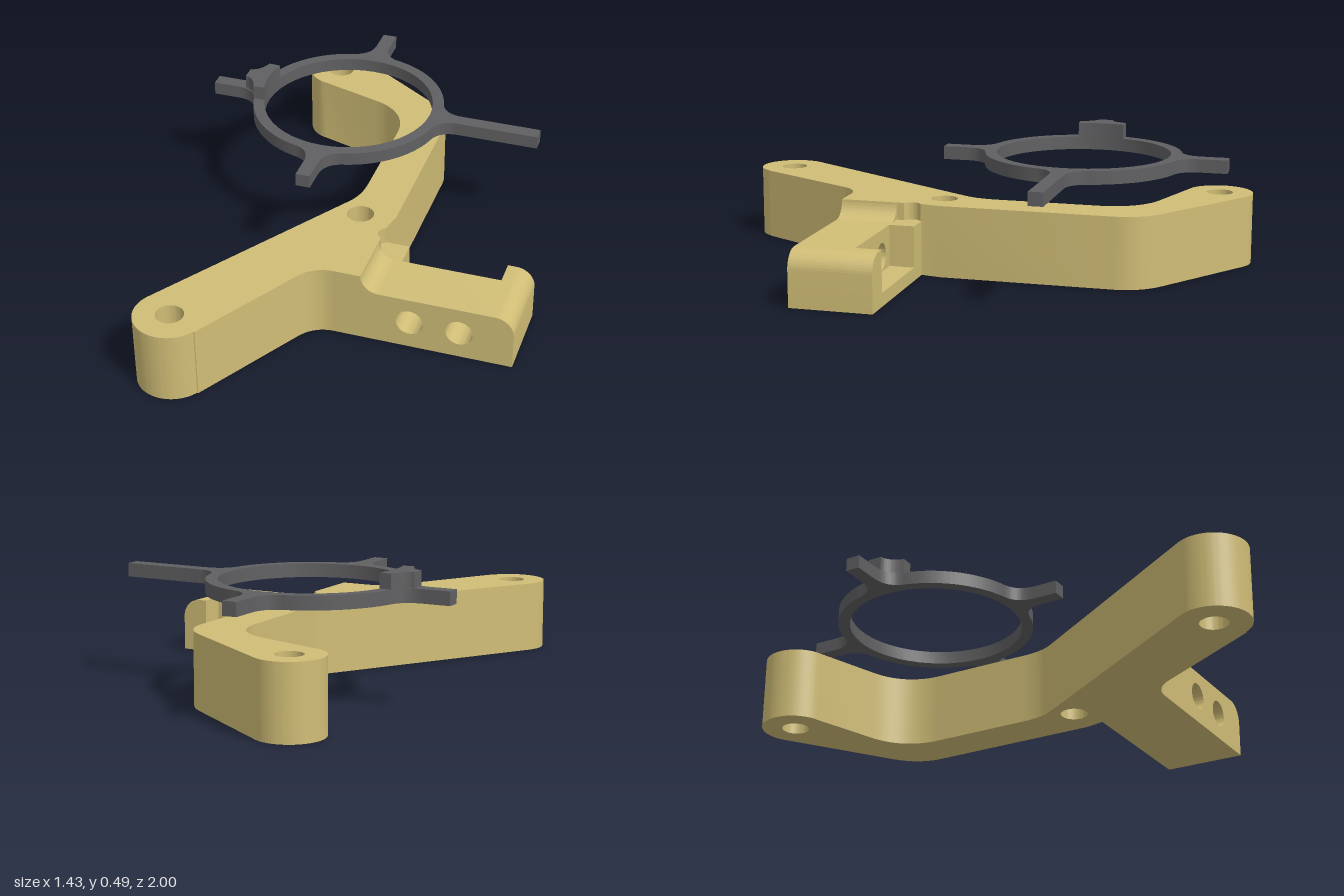
import * as THREE from 'three';
import { toCreasedNormals } from 'three/addons/utils/BufferGeometryUtils.js';

const tan = new THREE.MeshStandardMaterial({ color: 0xd0bd76 });
tan.name = 'tan';
const darkGrey = new THREE.MeshStandardMaterial({ color: 0x606062 });
darkGrey.name = 'dark grey';

function extrude(shape, depth) {
  return new THREE.ExtrudeGeometry(shape, { depth, bevelEnabled: false, curveSegments: 24 });
}

function part(name, geometry, material) {
  const mesh = new THREE.Mesh(toCreasedNormals(geometry, 0.5), material);
  mesh.name = name;
  return mesh;
}

// Plan shapes are drawn as (x, -z) and extruded upwards from y0 to y1
function slab(name, shape, y0, y1, material) {
  return part(name, extrude(shape, y1 - y0).rotateX(-Math.PI / 2).translate(0, y0, 0), material);
}

// Side profiles are drawn as (x, y) and extruded from z0 to z1
function profile(name, shape, z0, z1, material) {
  return part(name, extrude(shape, z1 - z0).translate(0, 0, z0), material);
}

function addHole(shape, x, y, r) {
  shape.holes.push(new THREE.Path().absarc(x, y, r, 0, Math.PI * 2, false));
}

function rect(x0, y0, x1, y1) {
  return new THREE.Shape().moveTo(x0, y0).lineTo(x1, y0).lineTo(x1, y1).lineTo(x0, y1);
}

// Bent two-legged plate with round feet and bolt holes
function bracketBody() {
  const s = new THREE.Shape();
  s.moveTo(0.15, -0.465).lineTo(0.05, -0.465);
  s.quadraticCurveTo(-0.025, -0.465, -0.065, -0.535);
  s.lineTo(-0.287, -0.934);
  s.absarc(-0.405, -0.87, 0.13, -0.515, -3.708, true);
  s.lineTo(-0.03, -0.03);
  s.quadraticCurveTo(0, 0.02, 0, 0.1);
  s.lineTo(0, 0.48);
  s.bezierCurveTo(0, 0.57, -0.05, 0.65, -0.15, 0.68);
  s.lineTo(-0.396, 0.755);
  s.absarc(-0.365, 0.875, 0.125, -1.862, -5.298, true);
  s.lineTo(0.07, 0.735);
  s.bezierCurveTo(0.13, 0.695, 0.165, 0.64, 0.165, 0.57);
  s.lineTo(0.165, -0.08);
  s.lineTo(0.15, -0.155);
  s.absarc(0.165, -0.19, 0.035, 2.01, 4.27, false);
  addHole(s, -0.405, -0.87, 0.05);
  addHole(s, -0.365, 0.875, 0.05);
  addHole(s, 0.033, -0.1, 0.05);
  return slab('bracketBody', s, 0, 0.27, tan);
}

// Side mounting block with two cross holes and a pocket open to the back and top
function mountingBlock() {
  const g = new THREE.Group();
  g.name = 'mountingBlock';
  const front = new THREE.Shape().moveTo(0.1, 0).lineTo(0.712, 0).lineTo(0.712, 0.135);
  front.absarc(0.642, 0.135, 0.07, 0, Math.PI / 2, false);
  front.lineTo(0.215, 0.205);
  front.absarc(0.215, 0.27, 0.065, -Math.PI / 2, -Math.PI, true);
  front.lineTo(0.1, 0.27);
  addHole(front, 0.332, 0.107, 0.05);
  addHole(front, 0.515, 0.104, 0.05);
  g.add(profile('blockFront', front, 0.25, 0.465, tan));

  const post = new THREE.Shape().moveTo(0.61, 0).lineTo(0.712, 0).lineTo(0.712, 0.135);
  post.absarc(0.642, 0.135, 0.07, 0, Math.PI / 2, false);
  post.lineTo(0.61, 0.205);
  g.add(profile('blockEndPost', post, 0.155, 0.25, tan));
  g.add(profile('blockInnerPost', rect(0.1, 0, 0.24, 0.205), 0.155, 0.25, tan));
  g.add(profile('pocketFloor', rect(0.24, 0, 0.61, 0.05), 0.155, 0.25, tan));
  return g;
}

// Ring with four flared spokes and a raised tab over the left-hand root
function spokedRing() {
  const g = new THREE.Group();
  g.name = 'spokedRing';
  const R = 0.37, r = 0.327, w = 0.027, flare = 0.25;
  const lengths = [0.757, 0.545, 0.548, 0.54];
  const s = new THREE.Shape();
  lengths.forEach((length, i) => {
    const a = i * Math.PI / 2;
    const at = (x, y) => [x * Math.cos(a) - y * Math.sin(a), x * Math.sin(a) + y * Math.cos(a)];
    const start = at(R * Math.cos(flare), -R * Math.sin(flare));
    if (i === 0) s.moveTo(...start);
    s.quadraticCurveTo(...at(0.377, -w), ...at(0.45, -w));
    s.lineTo(...at(length, -w)).lineTo(...at(length, w)).lineTo(...at(0.45, w));
    s.quadraticCurveTo(...at(0.377, w), ...at(R * Math.cos(flare), R * Math.sin(flare)));
    s.absarc(0, 0, R, a + flare, a + Math.PI / 2 - flare, false);
  });
  addHole(s, 0, 0, r);
  g.add(slab('ring', s, 0.385, 0.435, darkGrey));

  const tab = new THREE.Shape();
  const ox = -R * Math.cos(flare), oy = R * Math.sin(flare);
  tab.moveTo(ox, oy).quadraticCurveTo(-0.377, 0.032, -0.415, w);
  tab.lineTo(-0.415, -w).quadraticCurveTo(-0.377, -0.032, ox, -oy);
  tab.absarc(0, 0, r, Math.PI + 0.275, Math.PI - 0.275, true);
  g.add(slab('raisedTab', tab, 0.435, 0.49, darkGrey));
  g.position.set(-0.172, 0, -0.385);
  return g;
}

export function createModel() {
  const model = new THREE.Group();
  model.name = 'bracketWithRing';
  model.add(bracketBody(), mountingBlock(), spokedRing());
  return model;
}
